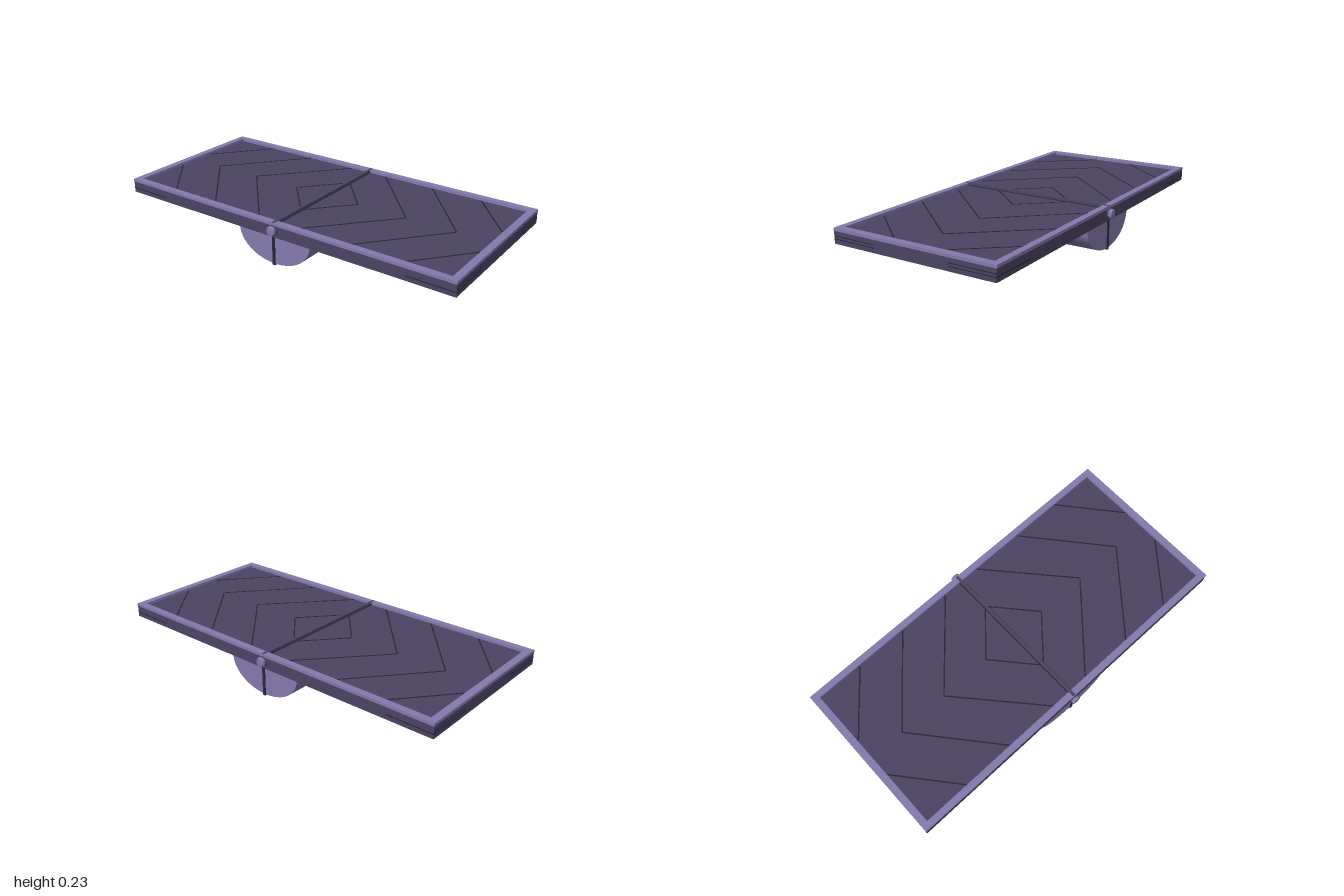
import * as THREE from 'three';
import { toCreasedNormals } from 'three/addons/utils/BufferGeometryUtils.js';

export function createModel() {
  const model = new THREE.Group();
  model.name = 'balanceBoard';

  const mat = (name, color) => {
    const m = new THREE.MeshStandardMaterial({ color });
    m.name = name;
    return m;
  };
  const light = mat('lightPurple', 0x857aad);
  const dark = mat('darkPurple', 0x4b4463);
  const groove = mat('grooveDark', 0x2a2636);

  const add = (name, geometry, material, x = 0, y = 0, z = 0) => {
    const mesh = new THREE.Mesh(geometry, material);
    mesh.name = name;
    mesh.position.set(x, y, z);
    model.add(mesh);
    return mesh;
  };
  const box = (name, w, h, d, material, x, y, z) =>
    add(name, new THREE.BoxGeometry(w, h, d), material, x, y, z);

  // Flat deck
  box('deck', 2, 0.063, 0.91, dark, 0, 0.1875, 0);

  // Raised rim around the deck
  const rect = (path, w, d) => path.moveTo(-w, -d).lineTo(w, -d).lineTo(w, d).lineTo(-w, d).closePath();
  const rimShape = rect(new THREE.Shape(), 1, 0.457);
  rimShape.holes.push(rect(new THREE.Path(), 0.962, 0.422));
  const rimGeo = new THREE.ExtrudeGeometry(rimShape, { depth: 0.015, bevelEnabled: false });
  rimGeo.rotateX(-Math.PI / 2);
  add('rim', rimGeo, light, 0, 0.219, 0);

  // Half-elliptical rocker below
  const rockerShape = new THREE.Shape();
  rockerShape.absellipse(0, 0, 0.22, 0.152, Math.PI, 2 * Math.PI, false);
  rockerShape.closePath();
  const rockerGeo = new THREE.ExtrudeGeometry(rockerShape, { depth: 0.9, bevelEnabled: false, curveSegments: 48 });
  add('rocker', toCreasedNormals(rockerGeo, 0.6), light, 0, 0.158, -0.45);

  // Dark centre plate showing at the rocker's ends and bottom
  box('centrePlate', 0.016, 0.17, 0.91, groove, 0, 0.085, 0);

  // Seam bar across the deck with a groove on either side
  box('seamBar', 0.016, 0.016, 0.91, dark, 0, 0.2265, 0);
  for (const s of [-1, 1]) box('seamGroove', 0.005, 0.004, 0.844, groove, s * 0.0105, 0.2195, 0);

  // Hinge caps on both ends
  for (const s of [-1, 1]) {
    const washer = add('hingeWasher', new THREE.CylinderGeometry(0.029, 0.029, 0.008, 32), dark, 0, 0.193, s * 0.459);
    washer.rotation.x = Math.PI / 2;
    const profile = [[0, -0.008], [0.025, -0.008], [0.026, 0.006], [0.022, 0.013], [0, 0.015]]
      .map(([r, h]) => new THREE.Vector2(r, h));
    const capGeo = toCreasedNormals(new THREE.LatheGeometry(profile, 32), 0.6);
    const cap = add('hingeCap', capGeo, light, 0, 0.193, s * 0.466);
    cap.rotation.x = s * Math.PI / 2;
  }

  // Chevron grooves, mirrored into all four quarters
  const lines = [
    [0.01, 0.215, 0.2, 0],
    [0.115, 0.42, 0.49, 0],
    [0.415, 0.42, 0.77, 0],
    [0.705, 0.42, 0.96, 0.115],
  ];
  for (const [x1, z1, x2, z2] of lines) {
    const length = Math.hypot(x2 - x1, z2 - z1);
    for (const sx of [-1, 1]) for (const sz of [-1, 1]) {
      const line = box('chevronGroove', length, 0.003, 0.007, groove,
        sx * (x1 + x2) / 2, 0.2192, sz * (z1 + z2) / 2);
      line.rotation.y = -Math.atan2(sz * (z2 - z1), sx * (x2 - x1));
    }
  }

  // Grip lines round the deck's corners
  for (const sx of [-1, 1]) for (const sz of [-1, 1]) {
    box('frontGripLine', 0.25, 0.005, 0.003, groove, sx * 0.875, 0.181, sz * 0.4545);
    for (const y of [0.18, 0.195])
      box('endGripLine', 0.002, 0.004, 0.245, groove, sx * 0.9995, y, sz * 0.3325);
  }

  return model;
}
